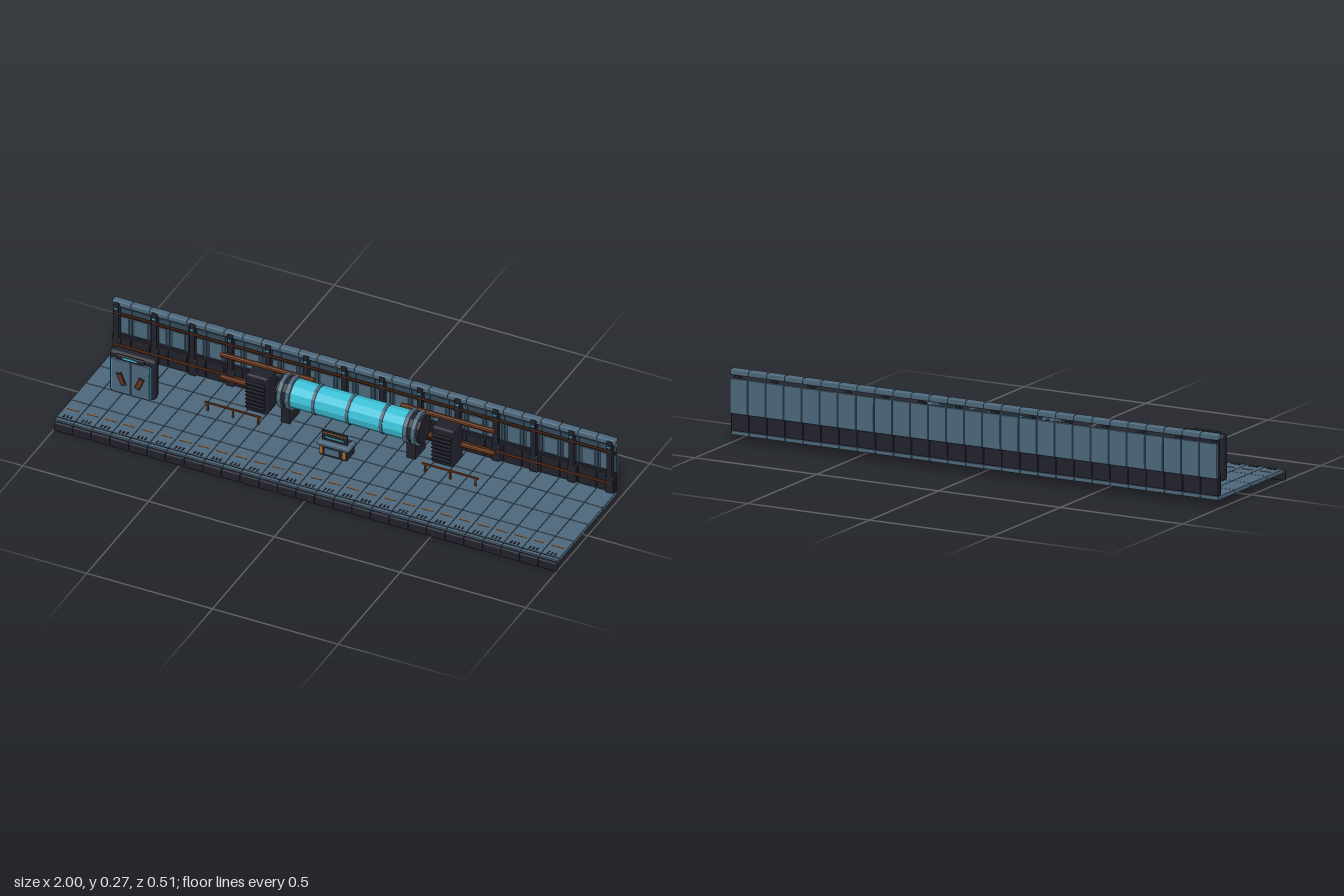
import * as THREE from 'three';
import { RoundedBoxGeometry } from 'three/addons/geometries/RoundedBoxGeometry.js';

const mat = (name, color, extra) => Object.assign(new THREE.MeshStandardMaterial({ color }), { name });

export function createModel() {
  const model = new THREE.Group();
  const steel = mat('steel', 0x4c677b);
  const dark = mat('dark metal', 0x20212b);
  const mid = mat('shadow steel', 0x34495a);
  const rust = mat('rust pipe', 0x6e3512);
  const amber = mat('amber', 0xa8682a);
  const cyan = mat('cyan glass', 0x3cc0d6);

  const group = (name, parent = model) => {
    const g = new THREE.Group();
    g.name = name;
    parent.add(g);
    return g;
  };
  const add = (parent, name, geo, m, x, y, z) => {
    const mesh = new THREE.Mesh(geo, m);
    mesh.name = name;
    mesh.position.set(x, y, z);
    parent.add(mesh);
    return mesh;
  };
  const box = (p, name, m, w, h, d, x, y, z) =>
    add(p, name, new THREE.BoxGeometry(w, h, d), m, x, y, z);
  const rbox = (p, name, m, w, h, d, x, y, z, r = 0.003) =>
    add(p, name, new RoundedBoxGeometry(w, h, d, 1, r), m, x, y, z);
  // Faceted cylinder lying along x
  const rod = (p, name, m, r, len, x, y, z, sides = 10) => {
    const geo = new THREE.CylinderGeometry(r, r, len, sides).rotateZ(Math.PI / 2);
    const mesh = add(p, name, geo.toNonIndexed(), m, x, y, z);
    mesh.geometry.computeVertexNormals();
    return mesh;
  };

  // Floor: rows of plates with dark seams
  const floor = group('floor');
  const N = 27, step = 2 / N;
  const rows = [[-0.24, -0.123], [-0.123, -0.006], [-0.006, 0.111], [0.111, 0.227]];
  for (let i = 0; i < N; i++) {
    const x = -1 + step * (i + 0.5);
    for (const [a, b] of rows)
      rbox(floor, 'floorPlate', steel, step - 0.0015, 0.015, b - a - 0.002, x, 0.0375, (a + b) / 2, 0.0015);
    rbox(floor, 'edgePlate', steel, step - 0.0015, 0.013, 0.014, x, 0.0365, 0.235, 0.0015);
    box(floor, 'warningDash', amber, 0.045, 0.002, 0.005, x, 0.0455, 0.165);
    for (const dx of [-0.014, 0, 0.014])
      box(floor, 'ventSlot', dark, 0.006, 0.002, 0.016, x + dx, 0.0455, 0.212);
  }
  for (const z of [-0.123, -0.006, 0.111, 0.2275])
    box(floor, 'floorSeam', dark, 1.998, 0.012, 0.003, 0, 0.0375, z);

  // Front lip
  const lip = group('frontLip');
  const L = 13.5, lipStep = 2 / 27;
  for (let i = 0; i < L * 2; i++)
    rbox(lip, 'lipBlock', dark, lipStep - 0.001, 0.036, 0.019, -1 + lipStep * (i + 0.5), 0.0185, 0.245, 0.004);

  // Rear wall: base, cladding, top rail
  const wall = group('rearWall');
  for (let i = 0; i < N; i++) {
    const x = -1 + step * (i + 0.5);
    rbox(wall, 'basePanel', dark, step - 0.001, 0.073, 0.018, x, 0.0815, -0.231, 0.003);
    rbox(wall, 'claddingPanel', steel, step - 0.002, 0.13, 0.014, x, 0.175, -0.244, 0.003);
    box(wall, 'innerPanel', mid, step - 0.002, 0.118, 0.004, x, 0.178, -0.236);
    rbox(wall, 'windowPlate', steel, 0.052, 0.07, 0.006, x, 0.167, -0.232, 0.002);
    rbox(wall, 'topRail', steel, step - 0.001, 0.023, 0.029, x, 0.262, -0.232, 0.005);
  }
  box(wall, 'wallLowerTrim', dark, 2, 0.01, 0.01, 0, 0.124, -0.23);
  box(wall, 'wallUpperTrim', dark, 2, 0.008, 0.01, 0, 0.212, -0.23);
  for (let i = 0; i < 14; i++) {
    const x = -0.98 + i * 1.96 / 13;
    rbox(wall, 'post', dark, 0.022, 0.22, 0.022, x, 0.158, -0.222, 0.003);
    rbox(wall, 'postFoot', dark, 0.032, 0.07, 0.026, x, 0.081, -0.224, 0.004);
    box(wall, 'postLamp', cyan, 0.012, 0.005, 0.004, x, 0.246, -0.21);
  }
  rod(wall, 'upperWallPipe', rust, 0.004, 1.98, 0, 0.225, -0.214, 8);
  rod(wall, 'lowerWallPipe', rust, 0.005, 1.98, 0, 0.088, -0.214, 8);

  // Horizontal glass tank with bands and end flanges
  const tank = group('tank');
  const ty = 0.157, tz = -0.136;
  rod(tank, 'glass', cyan, 0.055, 0.46, 0, ty, tz, 12);
  for (const x of [-0.135, 0, 0.135]) rod(tank, 'band', steel, 0.058, 0.012, x, ty, tz, 12);
  for (const s of [-1, 1]) {
    rod(tank, 'innerFlange', steel, 0.066, 0.016, s * 0.234, ty, tz, 12);
    rod(tank, 'neck', dark, 0.058, 0.02, s * 0.25, ty, tz, 12);
    rod(tank, 'outerFlange', steel, 0.066, 0.016, s * 0.266, ty, tz, 12);
    rod(tank, 'endCap', dark, 0.054, 0.014, s * 0.278, ty, tz, 12);
    box(tank, 'cradle', dark, 0.035, 0.07, 0.08, s * 0.25, 0.08, tz);
  }

  // Machine cabinets, pipes and low rails on each side
  for (const s of [-1, 1]) {
    const cab = group(s < 0 ? 'rightCabinet' : 'leftCabinet');
    rbox(cab, 'cabinetBody', dark, 0.086, 0.158, 0.083, s * 0.37, 0.124, -0.148, 0.008);
    for (let i = 0; i < 7; i++)
      box(cab, 'coolingFin', dark, 0.074, 0.005, 0.017, s * 0.37, 0.073 + i * 0.0163, -0.099);
    for (const y of [0.204, 0.107])
      rod(cab, 'feedPipe', rust, 0.0105, 0.37, s * 0.358, y, -0.174, 10);

    const rail = group(s < 0 ? 'rightRail' : 'leftRail');
    box(rail, 'railBar', rust, 0.225, 0.006, 0.006, s * 0.432, 0.079, -0.044);
    for (const dx of [-0.1, 0, 0.1])
      box(rail, 'railPost', rust, 0.006, 0.034, 0.006, s * 0.432 + dx, 0.06, -0.044);
  }

  // Door booth
  const booth = group('doorBooth');
  const bx = -0.817;
  rbox(booth, 'boothBody', dark, 0.184, 0.173, 0.041, bx, 0.132, -0.027, 0.013);
  for (const s of [-1, 1]) {
    rbox(booth, 'doorLeaf', steel, 0.075, 0.142, 0.012, bx + s * 0.0385, 0.121, -0.003, 0.003);
    box(booth, 'doorEdgeLight', cyan, 0.003, 0.135, 0.006, bx + s * 0.0785, 0.122, -0.004);
    const mark = box(booth, 'doorMark', dark, 0.024, 0.055, 0.003, bx + s * 0.036, 0.112, 0.003);
    mark.rotation.z = s * -0.4;
    const strip = box(booth, 'doorStrip', rust, 0.012, 0.042, 0.003, bx + s * 0.036, 0.112, 0.004);
    strip.rotation.z = s * -0.4;
  }
  rbox(booth, 'header', dark, 0.11, 0.02, 0.01, bx, 0.207, 0.003, 0.004);
  box(booth, 'headerLight', cyan, 0.055, 0.007, 0.003, bx, 0.208, 0.008);

  // Control console
  const con = group('console');
  rbox(con, 'consoleBase', dark, 0.11, 0.043, 0.066, 0, 0.0665, -0.007, 0.005);
  rbox(con, 'consoleTop', steel, 0.13, 0.018, 0.061, 0, 0.096, 0, 0.005);
  rbox(con, 'frontPanel', steel, 0.06, 0.028, 0.007, 0, 0.075, 0.035, 0.002);
  for (const s of [-1, 1])
    box(con, 'sideTrim', amber, 0.012, 0.03, 0.006, s * 0.046, 0.07, 0.026);
  rbox(con, 'screen', dark, 0.104, 0.042, 0.005, 0, 0.125, 0.01, 0.002);
  box(con, 'screenTrim', amber, 0.096, 0.004, 0.002, 0, 0.138, 0.013);
  box(con, 'screenGlow', cyan, 0.07, 0.005, 0.002, 0, 0.119, 0.013);
  box(con, 'keyPanel', dark, 0.1, 0.002, 0.012, 0, 0.1055, -0.015);

  return model;
}
